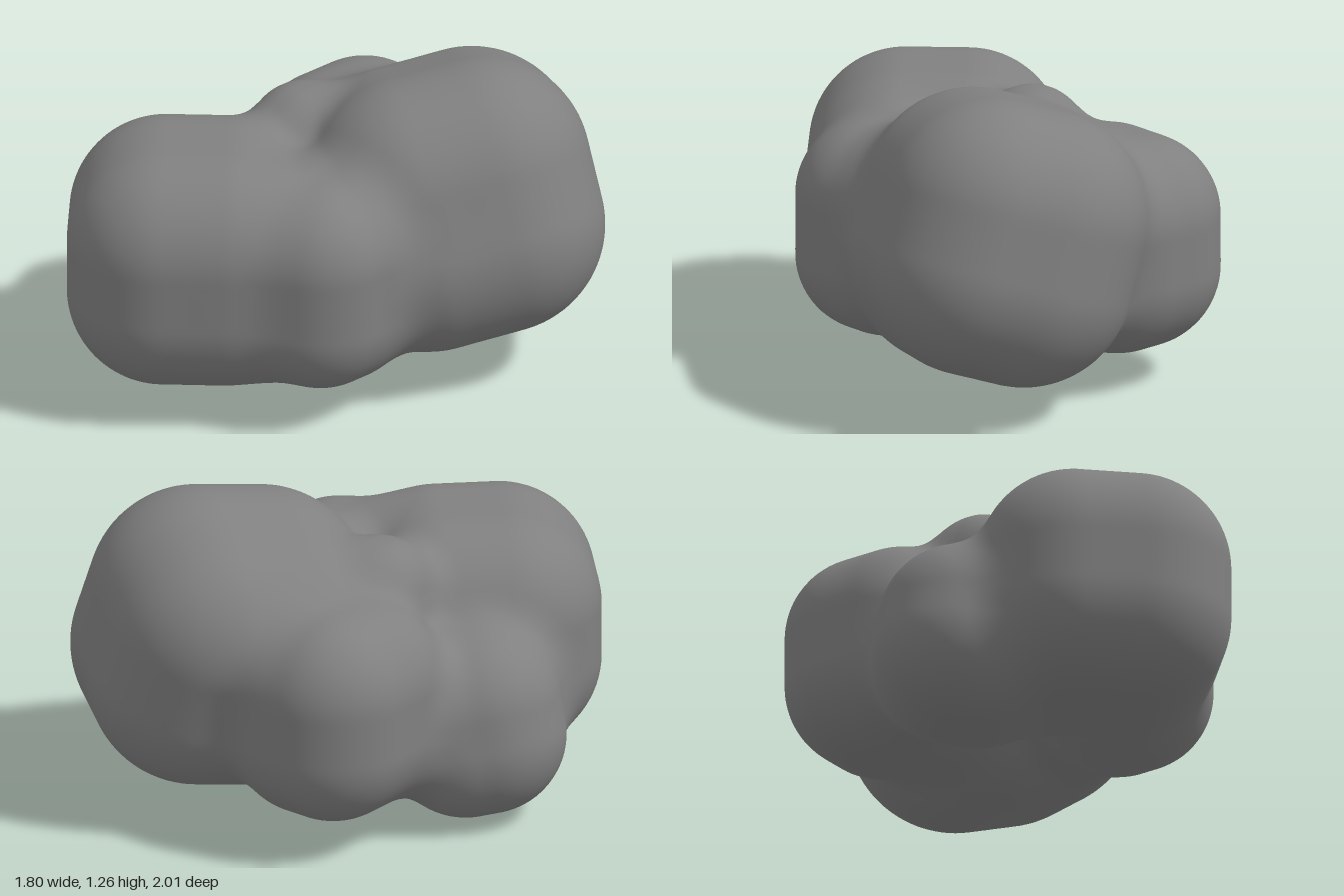
import * as THREE from 'three';
import { mergeVertices } from 'three/addons/utils/BufferGeometryUtils.js';

// Rounded lobes of the boulder: centre, half size, corner radius, turn about y, tilt about z (degrees)
const lobes = [
  { c: [-0.2, 0.575, 0.46], h: [0.49, 0.475, 0.49], r: 0.37, turn: 45, tilt: 0 },      // front
  { c: [0.285, 0.67, -0.42], h: [0.52, 0.54, 0.555], r: 0.42, turn: -30, tilt: 20 },   // tall back
  { c: [-0.28, 0.55, -0.46], h: [0.37, 0.42, 0.4], r: 0.32, turn: 0, tilt: 0 },        // low back
  { c: [-0.52, 0.385, 0.07], h: [0.35, 0.375, 0.36], r: 0.31, turn: 45, tilt: -12 },   // side foot
  { c: [0.26, 0.56, 0.23], h: [0.34, 0.42, 0.34], r: 0.3, turn: 0, tilt: 0 },          // side bulge
  { c: [-0.2, 0.905, -0.09], h: [0.18, 0.18, 0.18], r: 0.17, turn: 0, tilt: 0 },       // top knob
].map(({ c, h, r, turn, tilt }) => {
  const rad = THREE.MathUtils.degToRad;
  const euler = new THREE.Euler(0, rad(turn), rad(tilt), 'ZYX');
  return {
    c: new THREE.Vector3(...c),
    inner: h.map((v) => v - r),
    r,
    q: new THREE.Quaternion().setFromEuler(euler).invert(),
  };
});

const p = new THREE.Vector3();

// Distance from a point to one rounded box
function lobeDistance(point, { c, inner, r, q }) {
  p.copy(point).sub(c).applyQuaternion(q);
  const x = Math.abs(p.x) - inner[0];
  const y = Math.abs(p.y) - inner[1];
  const z = Math.abs(p.z) - inner[2];
  const outside = Math.hypot(Math.max(x, 0), Math.max(y, 0), Math.max(z, 0));
  return outside + Math.min(Math.max(x, y, z), 0) - r;
}

// Soft union of all lobes
function boulderDistance(point) {
  const k = 0.13;
  let d = Infinity;
  for (const lobe of lobes) {
    const e = lobeDistance(point, lobe);
    const blend = Math.max(k - Math.abs(d - e), 0) / k;
    d = Math.min(d, e) - (blend * blend * k) / 4;
  }
  return d;
}

export function createModel() {
  const group = new THREE.Group();

  // Shrink a fine sphere inward until each vertex meets the lobes
  let geometry = new THREE.IcosahedronGeometry(1, 42);
  geometry.deleteAttribute('uv');
  geometry.deleteAttribute('normal');
  geometry = mergeVertices(geometry, 1e-4);
  const position = geometry.attributes.position;
  const centre = new THREE.Vector3(-0.05, 0.57, 0);
  const dir = new THREE.Vector3();
  const point = new THREE.Vector3();
  for (let i = 0; i < position.count; i++) {
    dir.fromBufferAttribute(position, i).normalize();
    let t = 1.6;
    for (let step = 0; step < 80; step++) {
      const d = boulderDistance(point.copy(centre).addScaledVector(dir, t));
      if (d < 0.0005) break;
      t -= d * 0.95;
    }
    position.setXYZ(i, point.x, Math.max(point.y, 0), point.z);
  }
  geometry.computeVertexNormals();

  const boulder = new THREE.Mesh(
    geometry,
    new THREE.MeshStandardMaterial({ color: 0x808080 }),
  );
  boulder.name = 'boulder';
  group.add(boulder);
  return group;
}
